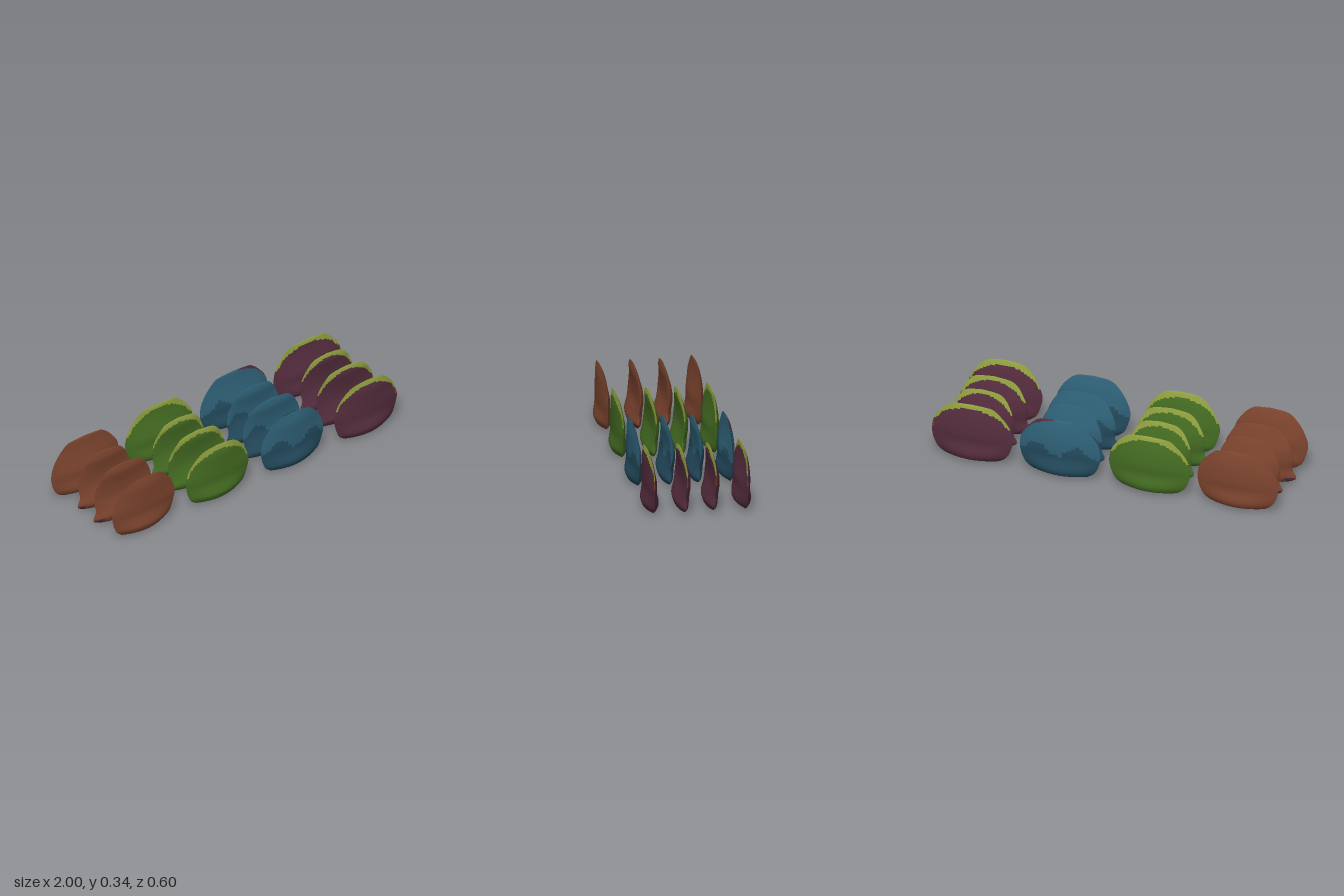
import * as THREE from 'three';

const paint = (name, hex) => {
  const m = new THREE.MeshStandardMaterial({ color: hex });
  m.name = name;
  return m;
};

// Profiles, bottom to top: [height, half width, edge z, front z, back z]
const FRONT = [
  [0, 0, 0, 0, 0],
  [0.008, 0.12, 0.002, 0.03, -0.028],
  [0.03, 0.165, 0.004, 0.043, -0.04],
  [0.055, 0.187, 0.005, 0.048, -0.043],
  [0.11, 0.207, 0.006, 0.034, -0.03],
  [0.165, 0.215, 0.008, 0.034, -0.031],
  [0.23, 0.196, 0.006, 0.034, -0.017],
  [0.285, 0.16, 0.012, 0.034, -0.006],
  [0.325, 0.115, 0.018, 0.026, 0.009],
  [0.338, 0.075, 0.02, 0.022, 0.015],
  [0.345, 0, 0.02, 0.02, 0.02],
];
const MIDDLE = [
  [0.005, 0, 0.006, 0.006, 0.006],
  [0.01, 0.13, 0.006, 0.028, -0.014],
  [0.0325, 0.197, 0.007, 0.038, -0.028],
  [0.055, 0.2085, 0.008, 0.041, -0.033],
  [0.095, 0.19, 0.006, 0.026, -0.039],
  [0.15, 0.197, 0, 0.006, -0.046],
  [0.21, 0.19, -0.004, 0.004, -0.039],
  [0.255, 0.17, -0.002, 0.009, -0.026],
  [0.296, 0.143, 0.004, 0.014, -0.014],
  [0.328, 0.1, 0.004, 0.009, -0.002],
  [0.341, 0, 0.004, 0.004, 0.004],
];
const BACK = [
  [0.007, 0, 0, 0, 0],
  [0.013, 0.13, 0, 0.025, -0.03],
  [0.03, 0.175, 0, 0.043, -0.043],
  [0.059, 0.205, 0, 0.048, -0.048],
  [0.112, 0.227, 0, 0.036, -0.0375],
  [0.165, 0.2325, 0, 0.034, -0.041],
  [0.225, 0.218, 0, 0.018, -0.037],
  [0.28, 0.178, -0.003, 0.006, -0.027],
  [0.324, 0.128, -0.004, 0, -0.014],
  [0.334, 0.09, -0.005, -0.003, -0.008],
  [0.339, 0, -0.005, -0.005, -0.005],
];

// A scale: lens-shaped rings stacked by height, each face coloured by a rule
function scaleGeometry(profile, widthScale, sharpness, names, pick) {
  const RINGS = 44, SIDES = 56;
  const curve = (f) => new THREE.CatmullRomCurve3(profile.map(f), false, 'catmullrom', 0.5);
  const outline = curve(([y, w, e]) => new THREE.Vector3(w, y, e));
  const depth = curve(([y, , , f, b]) => new THREE.Vector3(f, y, b));
  const pos = [];
  for (let i = 0; i <= RINGS; i++) {
    const o = outline.getPoint(i / RINGS), d = depth.getPoint(i / RINGS);
    for (let j = 0; j < SIDES; j++) {
      const a = (j / SIDES) * Math.PI * 2, s = Math.sin(a);
      const swell = Math.pow(Math.abs(s), sharpness);
      const side = s >= 0 ? d.x : d.z;
      pos.push(Math.max(o.x, 0) * widthScale * Math.cos(a), o.y, o.z + (side - o.z) * swell);
    }
  }
  const faces = names.map(() => []);
  for (let i = 0; i < RINGS; i++) {
    for (let j = 0; j < SIDES; j++) {
      const k = (j + 1) % SIDES;
      const a = i * SIDES + j, b = i * SIDES + k, c = a + SIDES, d = b + SIDES;
      const mid = (n) => (pos[a * 3 + n] + pos[b * 3 + n] + pos[c * 3 + n] + pos[d * 3 + n]) / 4;
      faces[names.indexOf(pick(mid(0), mid(1)))].push(a, c, b, b, c, d);
    }
  }
  const g = new THREE.BufferGeometry();
  g.setAttribute('position', new THREE.Float32BufferAttribute(pos, 3));
  g.setIndex(faces.flat());
  let start = 0;
  faces.forEach((f, n) => {
    if (f.length) g.addGroup(start, f.length, n);
    start += f.length;
  });
  g.computeVertexNormals();
  return g;
}

export function createModel() {
  const materials = {
    rust: paint('rust', 0x7c442e),
    green: paint('green', 0x446c22),
    lime: paint('lime', 0x8f9f3e),
    blue: paint('blue', 0x2e6076),
    deepBlue: paint('deepBlue', 0x244b5e),
    plum: paint('plum', 0x552d3e),
  };
  const names = Object.keys(materials);
  const palette = Object.values(materials);

  const rows = [
    { name: 'front', z: 0.25, profile: FRONT, scale: 1, half: 0.215, sharp: 2 },
    { name: 'frontMiddle', z: 0.08, profile: MIDDLE, scale: 1, half: 0.197, sharp: 1.5 },
    { name: 'backMiddle', z: -0.08, profile: MIDDLE, scale: 0.91, half: 0.18, sharp: 1.5 },
    { name: 'back', z: -0.25, profile: BACK, scale: 1, half: 0.2325, sharp: 2 },
  ];

  // True outside an ellipse set a little inside the upper outline
  const onRim = (x, y, row, kx, ky) =>
    y > 0.2 && Math.hypot(x / (row.half * kx), (y - 0.17) / ky) > 1;

  const columns = [
    { name: 'rust', x: -0.766,
      pick: (x, y, row) =>
        row.profile === MIDDLE && y < 0.05 && Math.abs(x) > 0.15 ? 'plum' : 'rust' },
    { name: 'green', x: -0.257,
      pick: (x, y, row) => (onRim(x, y, row, 0.93, 0.145) ? 'lime' : 'green') },
    { name: 'blue', x: 0.259,
      pick: (x, y, row) => {
        if (row.name === 'back' && x > 0.03 && onRim(x, y, row, 0.98, 0.163)) return 'plum';
        const waterline = 0.165 + 0.035 * Math.cos((x - 0.01) * 28 + Math.PI) + 0.006 * Math.sin(x * 90);
        return y < waterline ? 'deepBlue' : 'blue';
      } },
    { name: 'plum', x: 0.766,
      pick: (x, y, row) => {
        if (onRim(x, y, row, 0.94, 0.147) && y > 0.215) return 'lime';
        return y > 0.165 && y < 0.23 && x > row.half * 0.94 ? 'rust' : 'plum';
      } },
  ];

  // Four colours across, four shapes deep
  const model = new THREE.Group();
  model.name = 'scales';
  for (const col of columns) {
    const group = new THREE.Group();
    group.name = col.name + 'Scales';
    group.position.x = col.x;
    for (const row of rows) {
      const geometry = scaleGeometry(row.profile, row.scale, row.sharp, names,
        (x, y) => col.pick(x, y, row));
      const mesh = new THREE.Mesh(geometry, palette);
      mesh.name = row.name + 'Scale';
      mesh.position.z = row.z;
      group.add(mesh);
    }
    model.add(group);
  }
  return model;
}
